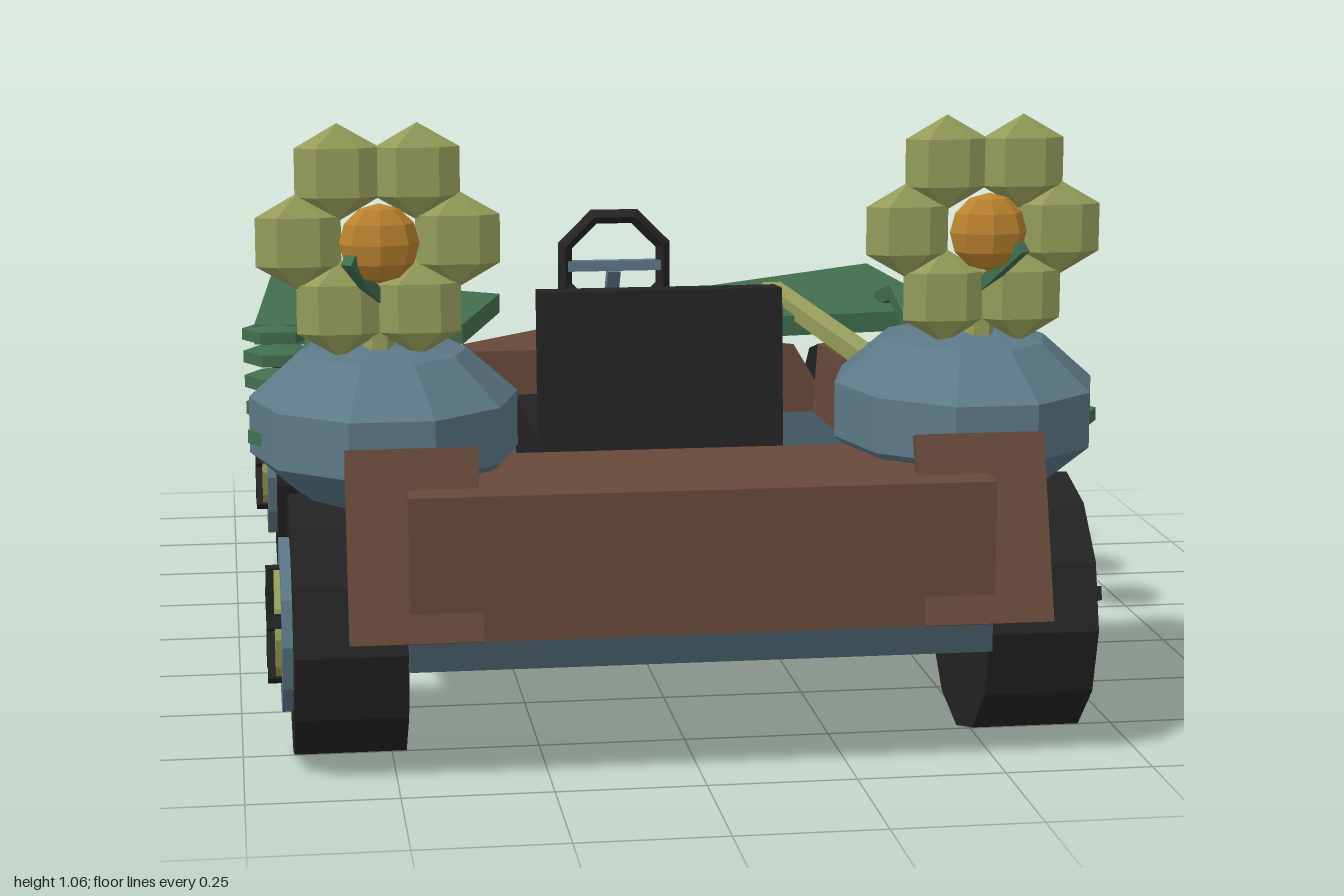
import * as THREE from 'three';
import { ConvexGeometry } from 'three/addons/geometries/ConvexGeometry.js';

const mat = (name, color) => {
  const m = new THREE.MeshStandardMaterial({ color, flatShading: true });
  m.name = name;
  return m;
};

export function createModel() {
  const kart = new THREE.Group();
  kart.name = 'kart';
  const darkBlue = mat('hullBlue', 0x405662);
  const blue = mat('lightBlue', 0x5c7988);
  const brown = mat('barkBrown', 0x68493a);
  const green = mat('leafGreen', 0x426e4e);
  const lime = mat('petalLime', 0x98a05c);
  const orange = mat('flowerOrange', 0xbc832f);
  const black = mat('rubberBlack', 0x232323);

  const add = (name, geo, material, pos = [0, 0, 0], parent = kart) => {
    const m = new THREE.Mesh(geo, material);
    m.name = name;
    m.position.set(...pos);
    parent.add(m);
    return m;
  };
  const box = (name, size, material, pos, parent) =>
    add(name, new THREE.BoxGeometry(...size), material, pos, parent);
  // Solid hull around points; mirror repeats them at -x
  const solid = (name, pts, material, mirror = false) => {
    const all = pts.map((p) => new THREE.Vector3(...p));
    if (mirror) pts.forEach(([x, y, z]) => x && all.push(new THREE.Vector3(-x, y, z)));
    return add(name, new ConvexGeometry(all), material);
  };
  // Square bar between two points
  const bar = (name, a, b, w, h, material, parent) => {
    const p = new THREE.Vector3(...a), q = new THREE.Vector3(...b);
    const m = box(name, [w, h, p.distanceTo(q)], material, p.clone().add(q).multiplyScalar(0.5).toArray(), parent);
    m.lookAt(q);
    return m;
  };

  // Hull with a pointed nose
  const outline = [[0, -1], [0.6, -0.51], [0.48, 0.97]];
  solid('hull', outline.flatMap(([x, z]) => [[x, 0.2, z], [x, 0.35, z]]), darkBlue, true);

  // Hood over the nose
  solid('hood', [
    [0.03, 0.435, -0.9], [0.04, 0.34, -0.93],
    [0.38, 0.49, -0.3], [0.47, 0.34, -0.3],
  ], brown, true);

  // Rear deck and panel
  box('rearPanel', [0.96, 0.24, 0.32], brown, [0, 0.37, 0.82]);

  // Seat
  box('seatCushion', [0.43, 0.12, 0.42], black, [0, 0.4, 0.21]);
  const back = new THREE.Group();
  back.name = 'seatBack';
  back.position.set(0, 0.54, 0.44);
  back.rotation.x = -0.08;
  kart.add(back);
  box('seatBackShell', [0.43, 0.38, 0.08], black, [0, 0, 0], back);
  box('seatBackPad', [0.32, 0.25, 0.02], darkBlue, [0, 0.03, -0.045], back);

  // Steering wheel and column
  add('steeringWheel', new THREE.TorusGeometry(0.105, 0.015, 4, 8), black, [0, 0.675, -0.2]).rotation.z = Math.PI / 8;
  bar('steeringColumn', [0, 0.67, -0.2], [0, 0.46, -0.34], 0.025, 0.025, blue);
  box('steeringSpoke', [0.2, 0.02, 0.02], blue, [0, 0.675, -0.2]);

  for (const s of [1, -1]) {
    const side = s > 0 ? 'left' : 'right';
    const X = (pts) => pts.map(([x, y, z]) => [s * x, y, z]);

    // Sloping flank
    solid(side + 'Flank', X([
      [0.61, 0.45, 0.58], [0.61, 0.28, -0.42], [0.53, 0.5, 0.58], [0.53, 0.37, -0.42],
      [0.49, 0.33, 0.58], [0.5, 0.24, -0.42], [0.49, 0.5, 0.58], [0.48, 0.37, -0.42],
    ]), blue);

    // Cockpit wall
    solid(side + 'CockpitWall', X([
      [0.43, 0.49, -0.3], [0.5, 0.49, -0.3], [0.47, 0.53, 0.66], [0.535, 0.53, 0.66],
      [0.42, 0.34, -0.3], [0.5, 0.34, -0.3], [0.45, 0.34, 0.66], [0.51, 0.34, 0.66],
    ]), brown);

    // Leaning bark plate at the tail
    bar(side + 'TailPlate', [s * 0.47, 0.25, 0.98], [s * 0.47, 0.55, 0.885], 0.215, 0.03, brown);

    // Faceted pod
    add(side + 'Pod', new THREE.SphereGeometry(1, 10, 5), blue, [s * 0.5, 0.55, 0.65])
      .scale.set(0.238, 0.153, 0.27);

    // Flower on the pod
    const flower = new THREE.Group();
    flower.name = side + 'Flower';
    flower.position.set(s * 0.51, 0.87, 0.73);
    kart.add(flower);
    for (let i = 0; i < 6; i++) {
      const a = (i * Math.PI) / 3;
      add('petal', new THREE.SphereGeometry(0.081, 6, 3), lime,
        [0.131 * Math.cos(a), 0.131 * Math.sin(a), 0], flower).scale.z = 0.3;
    }
    add('flowerCentre', new THREE.SphereGeometry(0.066, 8, 6), orange, [0, 0, 0.035], flower).scale.z = 0.6;
    bar('flowerStem', [0, -0.22, -0.01], [0, 0.02, -0.01], 0.02, 0.02, green, flower);
    add('flowerBud', new THREE.SphereGeometry(0.03, 6, 3), lime, [0, -0.17, -0.02], flower);

    // Broad leaf fin
    const fin = [[0.66, -0.92], [0.19, -0.61], [0.295, -0.25], [0.705, -0.3]];
    solid(side + 'LeafFin', X(fin.flatMap(([x, z]) => [[x, 0.515, z], [x, 0.555, z]])), green);

    // Vine, pole and small leaves
    bar(side + 'Vine', [s * 0.595, 0.59, -0.32], [s * 0.595, 0.475, 0.1], 0.03, 0.03, green);
    bar(side + 'LeafStalk', [s * 0.595, 0.59, -0.32], [s * 0.595, 0.55, -0.46], 0.03, 0.03, green);
    bar(side + 'Pole', [s * 0.38, 0.56, -0.56], [s * 0.43, 0.56, 0.48], 0.04, 0.032, lime);
    for (let i = 0; i < 5; i++) {
      add(side + 'SmallLeaf', new THREE.SphereGeometry(0.08, 6, 3), green,
        [s * 0.66, 0.535, -0.31 + i * 0.247]).scale.y = 0.28;
    }

    // Wheels
    for (const z of [0.73, -0.54]) {
      const wheel = new THREE.Group();
      wheel.name = side + (z > 0 ? 'RearWheel' : 'NoseWheel');
      wheel.position.set(s * 0.573, 0.223, z);
      kart.add(wheel);
      const disc = (name, r, w, x, m, n = 12) => {
        add(name, new THREE.CylinderGeometry(r, r, w, n), m, [s * x, 0, 0], wheel).rotation.set(0, 0, Math.PI / 2);
      };
      disc('tyre', 0.223, 0.185, 0, black);
      disc('rim', 0.15, 0.04, 0.09, blue);
      disc('hubDisc', 0.1, 0.04, 0.1, lime);
      for (let i = 0; i < 5; i++) {
        const a = (i * Math.PI * 2) / 5;
        const spoke = box('spoke', [0.03, 0.1, 0.024], black,
          [s * 0.118, 0.05 * Math.cos(a), 0.05 * Math.sin(a)], wheel);
        spoke.rotation.x = a;
      }
    }
  }
  return kart;
}
